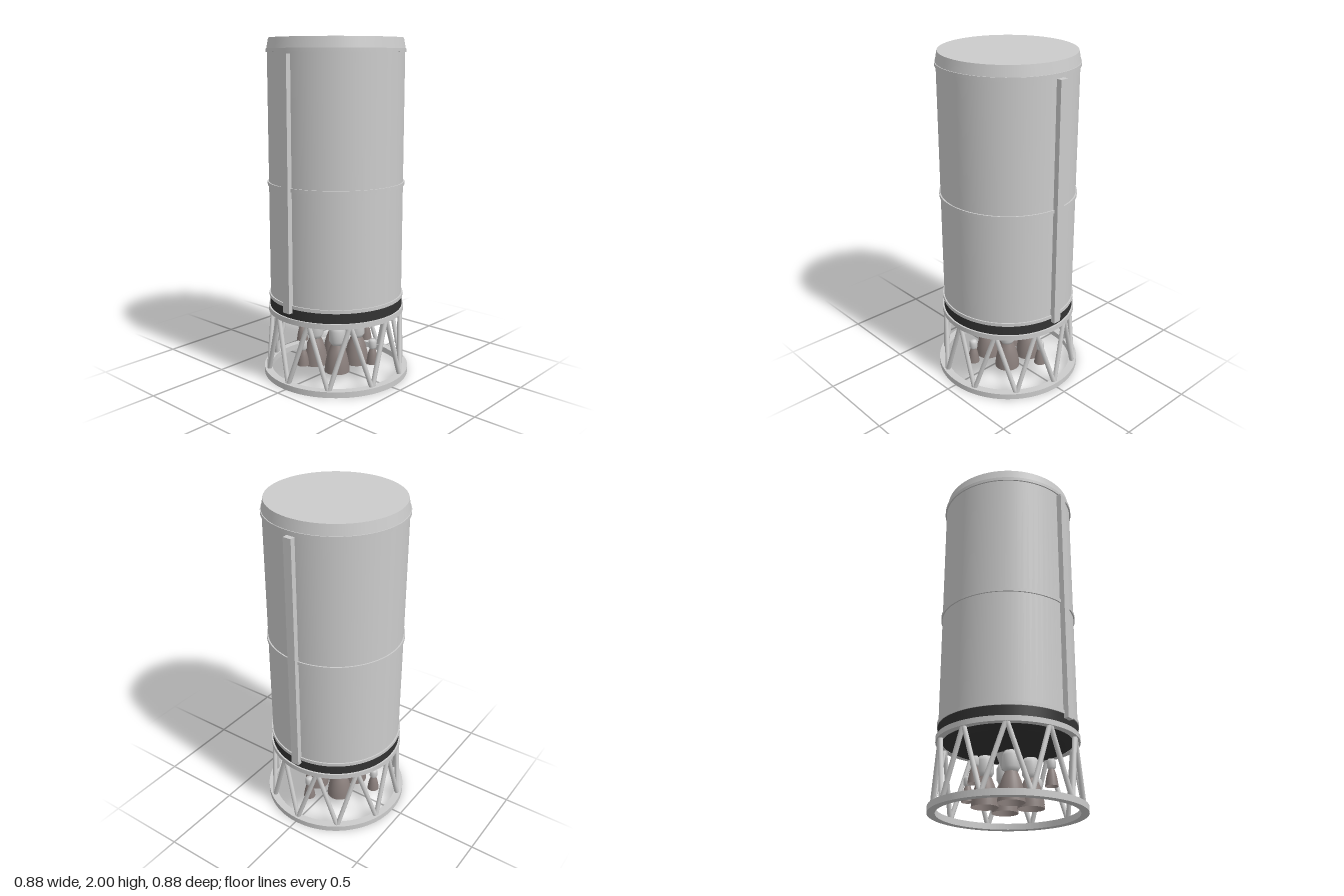
import * as THREE from 'three';

const mat = (color) => new THREE.MeshStandardMaterial({ color, side: THREE.DoubleSide });
const grey = mat(0xcccccc);
const dark = mat(0x333333);
const nozzle = mat(0x8a7f7c);

function add(parent, name, geometry, material, x = 0, y = 0, z = 0) {
  const mesh = new THREE.Mesh(geometry, material);
  mesh.name = name;
  mesh.position.set(x, y, z);
  parent.add(mesh);
  return mesh;
}

// Closed cylinder or cone frustum between two heights
function drum(parent, name, rBottom, rTop, y0, y1, material, segments = 72) {
  const geometry = new THREE.CylinderGeometry(rTop, rBottom, y1 - y0, segments);
  return add(parent, name, geometry, material, 0, (y0 + y1) / 2, 0);
}

// Flat ring with a rectangular section
function ring(parent, name, rInner, rOuter, y0, y1) {
  const shape = new THREE.Shape().absarc(0, 0, rOuter, 0, Math.PI * 2);
  shape.holes.push(new THREE.Path().absarc(0, 0, rInner, 0, Math.PI * 2, true));
  const geometry = new THREE.ExtrudeGeometry(shape, { depth: y1 - y0, bevelEnabled: false, curveSegments: 72 });
  geometry.rotateX(-Math.PI / 2);
  return add(parent, name, geometry, grey, 0, y0, 0);
}

function strut(parent, a, b, radius) {
  const mesh = add(parent, 'strut', new THREE.CylinderGeometry(radius, radius, a.distanceTo(b), 10), grey);
  mesh.position.copy(a).lerp(b, 0.5);
  mesh.quaternion.setFromUnitVectors(new THREE.Vector3(0, 1, 0), b.clone().sub(a).normalize());
}

const polar = (angle, r, y) => new THREE.Vector3(Math.cos(angle) * r, y, Math.sin(angle) * r);
const lathe = (points, segments) =>
  new THREE.LatheGeometry(points.map(([r, y]) => new THREE.Vector2(r, y)), segments);

// Engine: open curved bell below a rounded chamber
function engine(parent, name, x, z, bell, chamber) {
  const group = new THREE.Group();
  group.name = name;
  group.position.set(x, 0, z);
  const curve = new THREE.SplineCurve(bell.map(([r, y]) => new THREE.Vector2(r, y)));
  add(group, 'bell', new THREE.LatheGeometry(curve.getPoints(12), 28), nozzle);
  add(group, 'chamber', lathe(chamber, 28), grey);
  parent.add(group);
}

export function createModel() {
  const model = new THREE.Group();

  // Tank, top adapter and dark aft skirt
  drum(model, 'tank', 0.395, 0.395, 0.49, 1.93, grey);
  drum(model, 'topAdapter', 0.4, 0.387, 1.93, 2, grey);
  drum(model, 'aftSkirt', 0.398, 0.398, 0.42, 0.49, dark);
  for (const y of [0.495, 1.17, 1.93]) drum(model, 'band', 0.403, 0.403, y - 0.01, y + 0.01, grey);

  // Shallow dome under the tank
  const dome = [];
  for (let i = 0; i <= 12; i++) {
    const t = (i / 12) * Math.PI / 2;
    dome.push([0.39 * Math.sin(t), 0.425 - 0.09 * Math.cos(t)]);
  }
  add(model, 'aftDome', lathe(dome, 72), dark);
  drum(model, 'thrustMount', 0.035, 0.07, 0.25, 0.345, grey, 24);

  // Cable ducts on both sides
  for (const side of [-1, 1]) {
    add(model, 'cableDuct', new THREE.BoxGeometry(0.035, 1.45, 0.05), grey, side * 0.408, 1.185, 0);
  }

  // Interstage truss between two rings
  const truss = new THREE.Group();
  truss.name = 'interstageTruss';
  model.add(truss);
  ring(truss, 'upperRing', 0.37, 0.408, 0.395, 0.425);
  ring(truss, 'baseRing', 0.395, 0.44, 0, 0.035);
  const step = Math.PI / 5;
  for (let i = 0; i < 10; i++) {
    const foot = polar(i * step, 0.416, 0.02);
    for (const s of [-0.5, 0.5]) strut(truss, foot, polar((i + s) * step, 0.388, 0.41), 0.014);
  }

  // Four main engines on the diagonals
  const mainBell = [[0.076, 0.035], [0.07, 0.09], [0.056, 0.15], [0.034, 0.205]];
  const mainChamber = [[0, 0.2], [0.034, 0.2], [0.049, 0.225], [0.049, 0.29], [0.036, 0.318], [0, 0.32]];
  for (const x of [-0.09, 0.09]) {
    for (const z of [-0.09, 0.09]) engine(model, 'mainEngine', x, z, mainBell, mainChamber);
  }

  // Four small steering engines on the axes
  const smallBell = [[0.036, 0.11], [0.032, 0.14], [0.025, 0.175], [0.015, 0.205]];
  const smallChamber = [[0, 0.2], [0.015, 0.2], [0.024, 0.212], [0.024, 0.245], [0.017, 0.258], [0, 0.26]];
  for (let i = 0; i < 4; i++) {
    const p = polar(i * Math.PI / 2, 0.29, 0);
    engine(model, 'steeringEngine', p.x, p.z, smallBell, smallChamber);
  }
  return model;
}
